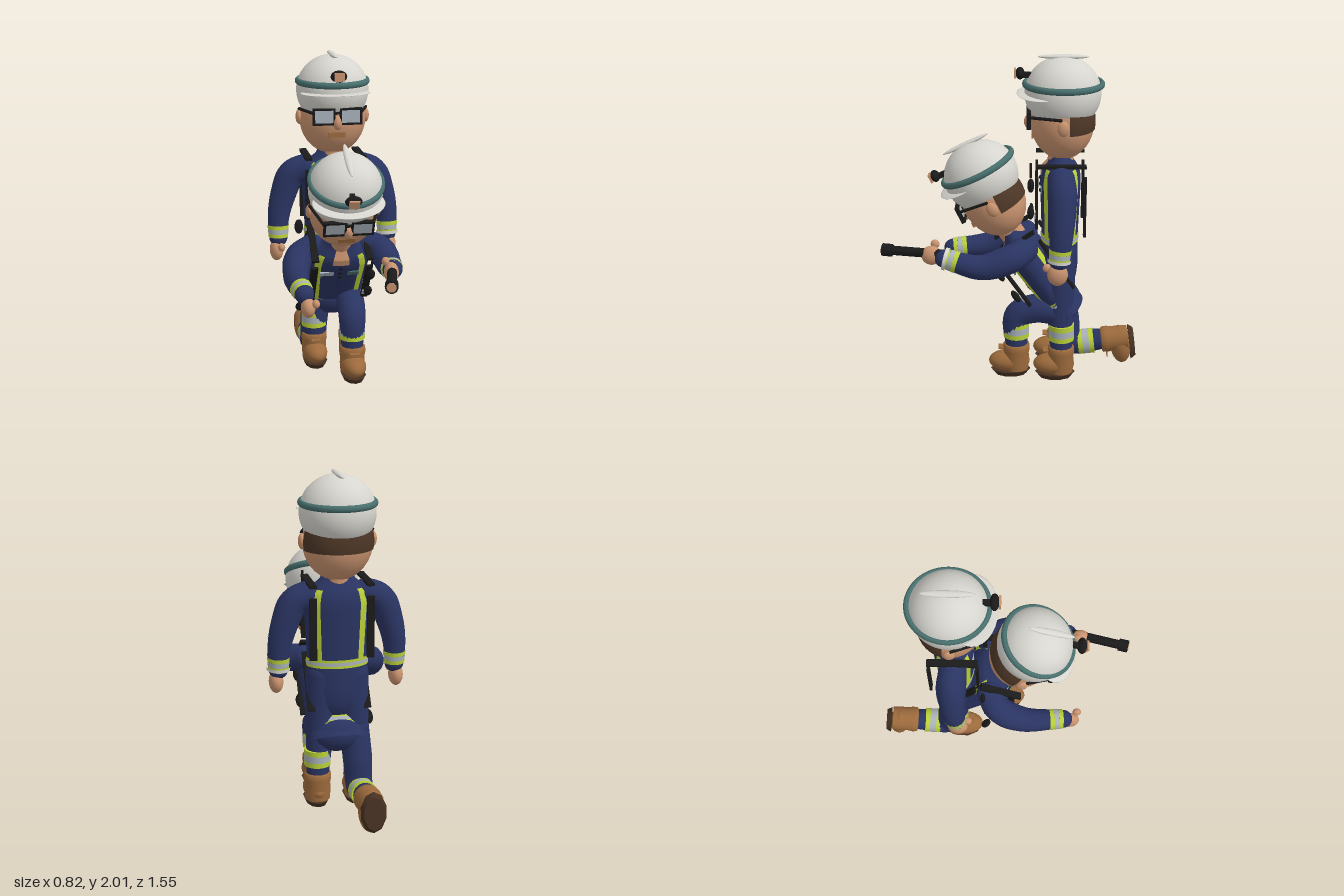
import * as THREE from 'three';

const mat = (name, color) => Object.assign(new THREE.MeshStandardMaterial({ color }), { name });
const navy = mat('navy cloth', 0x2a3462), lime = mat('lime reflective', 0xb9d038), white = mat('off white', 0xd6d5cf);
const teal = mat('teal band', 0x48706e), skin = mat('skin', 0xc9936f), hairBrown = mat('hair brown', 0x4c3626);
const leather = mat('boot leather', 0x9c6a3c), soleBrown = mat('sole brown', 0x463122);
const black = mat('black gear', 0x1a1a1a), grey = mat('pale grey', 0xa9b1bb);

function add(parent, name, geo, material, x = 0, y = 0, z = 0) {
  const m = new THREE.Mesh(geo, material);
  m.name = name;
  m.position.set(x, y, z);
  parent.add(m);
  return m;
}
const ball = (rx, ry, rz) => new THREE.SphereGeometry(1, 28, 18).scale(rx, ry, rz);
const box = (w, h, d) => new THREE.BoxGeometry(w, h, d);
const v = (p) => new THREE.Vector3(...p);

// Straight round bar between two points
function rod(parent, name, a, b, r, material) {
  const d = v(b).sub(v(a));
  const m = add(parent, name, new THREE.CylinderGeometry(r, r, d.length(), 10), material);
  m.position.copy(v(a)).addScaledVector(d, 0.5);
  m.quaternion.setFromUnitVectors(new THREE.Vector3(0, 1, 0), d.normalize());
}

// Piecewise linear lookup in a list of values over 0..1
function lerpList(list, u) {
  const f = Math.min(Math.max(u, 0), 1) * (list.length - 1), i = Math.min(Math.floor(f), list.length - 2);
  return list[i] + (list[i + 1] - list[i]) * (f - i);
}

// Tapered tube along a curve
function taper(curve, radius, n = 28) {
  const g = new THREE.TubeGeometry(curve, n, 1, 18), p = g.attributes.position, q = new THREE.Vector3();
  for (let i = 0; i <= n; i++) {
    const c = curve.getPointAt(i / n), r = radius(i / n);
    for (let j = 0; j <= 18; j++) {
      const k = i * 19 + j;
      q.fromBufferAttribute(p, k).sub(c).multiplyScalar(r).add(c);
      p.setXYZ(k, q.x, q.y, q.z);
    }
  }
  return g;
}

// Cloth limb with rounded ends and bands given as [start, end, material, extra radius]
function limb(parent, name, pts, radii, bands = []) {
  const curve = new THREE.CatmullRomCurve3(pts.map(v));
  const group = new THREE.Group();
  group.name = name;
  parent.add(group);
  add(group, name + 'Sleeve', taper(curve, (u) => lerpList(radii, u)), navy);
  for (const e of [0, 1]) {
    const r = lerpList(radii, e), c = curve.getPointAt(e);
    add(group, name + 'End', ball(r, r * 0.98, r), navy, c.x, c.y, c.z);
  }
  for (const [a, b, material, extra] of bands) {
    const part = new THREE.CatmullRomCurve3([a, (a + b) / 2, b].map((u) => curve.getPointAt(u)));
    add(group, name + 'Band', taper(part, (t) => lerpList(radii, a + (b - a) * t) + extra, 3), material);
  }
}
const cuff = [[0.84, 0.89, lime, 0.004], [0.89, 0.945, grey, 0.004], [0.945, 0.99, lime, 0.004]];
const watch = [0.96, 1, white, 0.012];

function hand(parent, x, y, z, tx, ty, tz, length) {
  add(parent, 'hand', ball(0.042, length, 0.06), skin, x, y, z);
  add(parent, 'thumb', ball(0.022, 0.026, 0.026), skin, x + tx, y + ty, z + tz);
}

// Head, origin at the centre of the helmet band
function makeHead(parent) {
  const head = new THREE.Group();
  head.name = 'head';
  parent.add(head);
  add(head, 'helmetShell', new THREE.SphereGeometry(1, 40, 26, 0, Math.PI * 2, 0, 2.13).scale(0.218, 0.213, 0.222), white, 0, -0.055, 0.003);
  add(head, 'helmetBand', new THREE.TorusGeometry(0.21, 0.015, 10, 56).rotateX(Math.PI / 2).scale(1, 1.3, 1.06), teal);
  add(head, 'helmetCrest', ball(0.021, 0.014, 0.147), white, 0, 0.157, 0.002);
  add(head, 'helmetBrim', ball(0.212, 0.008, 0.14), white, 0, -0.055, 0.13);
  add(head, 'face', ball(0.202, 0.225, 0.187), skin, 0, -0.22, 0.003);
  const hair = new THREE.SphereGeometry(1, 30, 8, Math.PI + 0.2, Math.PI - 0.4, 1.2, 0.55).scale(0.207, 0.23, 0.192);
  add(head, 'hair', hair, hairBrown, 0, -0.22, 0.003);
  add(head, 'nose', ball(0.027, 0.042, 0.03), skin, 0, -0.225, 0.197);
  add(head, 'mouth', box(0.1, 0.03, 0.012), leather, 0, -0.3, 0.176);
  // Headlamp
  add(head, 'lampBody', ball(0.049, 0.035, 0.026), black, 0, 0.06, 0.25);
  add(head, 'lampMount', box(0.03, 0.03, 0.06), black, 0, 0.05, 0.215);
  add(head, 'lampFace', box(0.06, 0.05, 0.012), skin, 0, 0.06, 0.279);
  // Glasses
  const frame = new THREE.Shape([[-0.067, -0.05], [0.067, -0.05], [0.067, 0.05], [-0.067, 0.05]].map((p) => new THREE.Vector2(...p)));
  frame.holes.push(new THREE.Path([[-0.055, -0.038], [-0.055, 0.038], [0.055, 0.038], [0.055, -0.038]].map((p) => new THREE.Vector2(...p))));
  for (const s of [-1, 1]) {
    add(head, 'glassesFrame', new THREE.ExtrudeGeometry(frame, { depth: 0.025, bevelEnabled: false }), black, s * 0.08, -0.185, 0.186);
    add(head, 'lens', box(0.112, 0.078, 0.009), grey, s * 0.08, -0.185, 0.2);
    rod(head, 'glassesArm', [s * 0.142, -0.165, 0.19], [s * 0.205, -0.165, 0.01], 0.009, black);
    add(head, 'ear', ball(0.022, 0.045, 0.034), skin, s * 0.203, -0.215, 0.003);
  }
  add(head, 'glassesBridge', box(0.04, 0.015, 0.02), black, 0, -0.165, 0.198);
  return head;
}

// Torso radius against height, origin at the chest centre
const profile = [[-0.58, 0.1], [-0.5, 0.165], [-0.4, 0.18], [-0.22, 0.175], [0, 0.188], [0.12, 0.195], [0.19, 0.175], [0.235, 0.11], [0.28, 0.085]];
function torsoRadius(y) {
  let i = 0;
  while (i < profile.length - 2 && y > profile[i + 1][0]) i++;
  const [a, b] = [profile[i], profile[i + 1]];
  return a[1] + (b[1] - a[1]) * (y - a[0]) / (b[0] - a[0]);
}
function wrap(y0, y1, phi, width, extra) {
  const pts = [];
  for (let i = 0; i <= 24; i++) {
    const y = y0 + (y1 - y0) * i / 24;
    pts.push(new THREE.Vector2(torsoRadius(y) + extra, y));
  }
  return new THREE.LatheGeometry(pts, Math.ceil(width * 7) + 1, phi - width / 2, width).scale(1, 1, 0.62);
}

function makeTorso(parent, bottom) {
  const t = new THREE.Group();
  t.name = 'torso';
  parent.add(t);
  const full = Math.PI * 2;
  add(t, 'jacket', wrap(bottom, 0.28, 0, full, 0), navy);
  add(t, 'openCollar', wrap(0.15, 0.26, 0, 0.55, 0.005), skin);
  add(t, 'beltStripe', wrap(-0.26, -0.21, 0, full, 0.005), lime);
  add(t, 'beltReflector', wrap(-0.245, -0.225, 0, full, 0.008), grey);
  for (const phi of [0.76, -0.76, Math.PI - 0.76, Math.PI + 0.76]) add(t, 'vestStripe', wrap(-0.24, 0.2, phi, 0.27, 0.005), lime);
  add(t, 'neck', new THREE.CylinderGeometry(0.075, 0.075, 0.14, 24), skin, 0, 0.27, 0);
  // Harness straps and chest gear
  for (const s of [-1, 1]) {
    add(t, 'frontStrap', box(0.042, 0.31, 0.016), black, s * 0.165, 0.015, 0.14);
    add(t, 'backStrap', box(0.042, 0.36, 0.016), black, s * 0.165, -0.01, -0.14);
    add(t, 'shoulderStrap', box(0.042, 0.016, 0.29), black, s * 0.165, 0.235, 0);
  }
  for (const y of [0.125, -0.04]) add(t, 'strapClip', ball(0.025, 0.042, 0.02), black, 0.175, y, 0.175);
  add(t, 'strapTag', box(0.036, 0.036, 0.009), grey, 0.165, -0.08, 0.151);
  add(t, 'antenna', box(0.012, 0.085, 0.014), black, 0.17, 0.215, 0.175);
  add(t, 'hangingClip', ball(0.026, 0.045, 0.014), black, -0.235, -0.17, 0.17);
  add(t, 'badge', box(0.085, 0.03, 0.009), grey, -0.08, 0.07, 0.113);
  add(t, 'pocketLabel', box(0.07, 0.03, 0.009), teal, 0.08, 0.07, 0.113);
  for (const y of [0.12, 0.08, 0.04]) add(t, 'button', ball(0.012, 0.012, 0.006), black, 0, y, 0.12);
  return t;
}

// Boot and ankle bands, origin on the ground under the shin
function makeBoot(parent) {
  const b = new THREE.Group();
  b.name = 'boot';
  parent.add(b);
  const shaft = [[0.074, 0.05], [0.078, 0.1], [0.076, 0.15], [0.082, 0.18], [0.08, 0.21], [0.068, 0.218]].map((p) => new THREE.Vector2(...p));
  add(b, 'bootShaft', new THREE.LatheGeometry(shaft, 28), leather);
  add(b, 'bootFoot', ball(0.077, 0.066, 0.126), leather, 0, 0.098, 0.043);
  add(b, 'bootTongue', box(0.06, 0.008, 0.05), leather, 0, 0.19, 0.085);
  add(b, 'bootSole', new THREE.CylinderGeometry(1, 0.8, 0.032, 10).scale(0.078, 1, 0.122), soleBrown, 0, 0.028, 0.035);
  for (const [y, h, m] of [[0.35, 0.03, lime], [0.315, 0.04, grey], [0.28, 0.03, lime]])
    add(b, 'ankleBand', new THREE.CylinderGeometry(0.078, 0.078, h, 28), m, 0, y, 0);
  return b;
}

function makeStanding() {
  const f = new THREE.Group();
  f.name = 'standingFigure';
  makeHead(f).position.set(0, 1.825, -0.29);
  makeTorso(f, -0.58).position.set(0, 1.14, -0.28);
  for (const s of [-1, 1]) {
    limb(f, 'arm', [[s * 0.17, 1.3, -0.28], [s * 0.25, 1.26, -0.285], [s * 0.31, 1.12, -0.285], [s * 0.338, 0.99, -0.28], [s * 0.342, 0.86, -0.27]],
      [0.08, 0.085, 0.077, 0.066, 0.056], s > 0 ? [...cuff, watch] : cuff);
    hand(f, s * 0.355, 0.785, -0.262, s * -0.025, 0.03, 0.06, 0.068);
    limb(f, 'leg', [[s * 0.09, 0.82, -0.28], [s * 0.1, 0.55, -0.285], [s * 0.118, 0.2, -0.295]], [0.095, 0.09, 0.078, 0.066]);
    makeBoot(f).position.set(s * 0.12, 0, -0.295);
  }
  return f;
}

function makeKneeling() {
  const f = new THREE.Group();
  f.name = 'kneelingFigure';
  const head = makeHead(f);
  head.position.set(0, 1.32, 0.21);
  head.rotation.x = 0.455;
  const torso = makeTorso(f, -0.34);
  torso.position.set(0, 0.7, -0.14);
  torso.rotation.x = 0.61;
  add(f, 'hips', ball(0.175, 0.125, 0.125), navy, 0, 0.47, -0.29);
  // Arms, the left one holding a torch
  limb(f, 'rightArm', [[-0.16, 0.85, -0.07], [-0.245, 0.81, -0.02], [-0.285, 0.73, 0.13], [-0.27, 0.705, 0.38]], [0.08, 0.085, 0.07, 0.055], cuff);
  hand(f, -0.255, 0.64, 0.42, 0.04, 0.035, 0.045, 0.058);
  limb(f, 'leftArm', [[0.16, 0.86, -0.07], [0.24, 0.84, 0], [0.265, 0.79, 0.18], [0.24, 0.835, 0.4]], [0.08, 0.085, 0.07, 0.055], [...cuff, watch]);
  hand(f, 0.215, 0.845, 0.475, -0.03, 0.06, -0.02, 0.058);
  rod(f, 'torchBody', [0.235, 0.86, 0.41], [0.165, 0.856, 0.72], 0.028, black);
  rod(f, 'torchHead', [0.168, 0.856, 0.71], [0.155, 0.856, 0.768], 0.038, black);
  rod(f, 'torchFace', [0.155, 0.856, 0.767], [0.154, 0.856, 0.772], 0.028, skin);
  // Left knee raised, right knee on the ground
  limb(f, 'leftLeg', [[0.09, 0.44, -0.28], [0.088, 0.45, -0.13], [0.08, 0.4, -0.03], [0.08, 0.2, -0.022]], [0.09, 0.088, 0.08, 0.066]);
  makeBoot(f).position.set(0.08, 0, -0.022);
  limb(f, 'rightLeg', [[-0.1, 0.48, -0.29], [-0.115, 0.3, -0.325], [-0.12, 0.14, -0.36], [-0.12, 0.146, -0.55]], [0.09, 0.088, 0.08, 0.066]);
  const back = makeBoot(f);
  back.position.set(-0.12, 0.17, -0.77);
  back.rotation.x = 1.69;
  return f;
}

export function createModel() {
  const model = new THREE.Group();
  model.name = 'rescueWorkers';
  model.add(makeStanding(), makeKneeling());
  return model;
}
